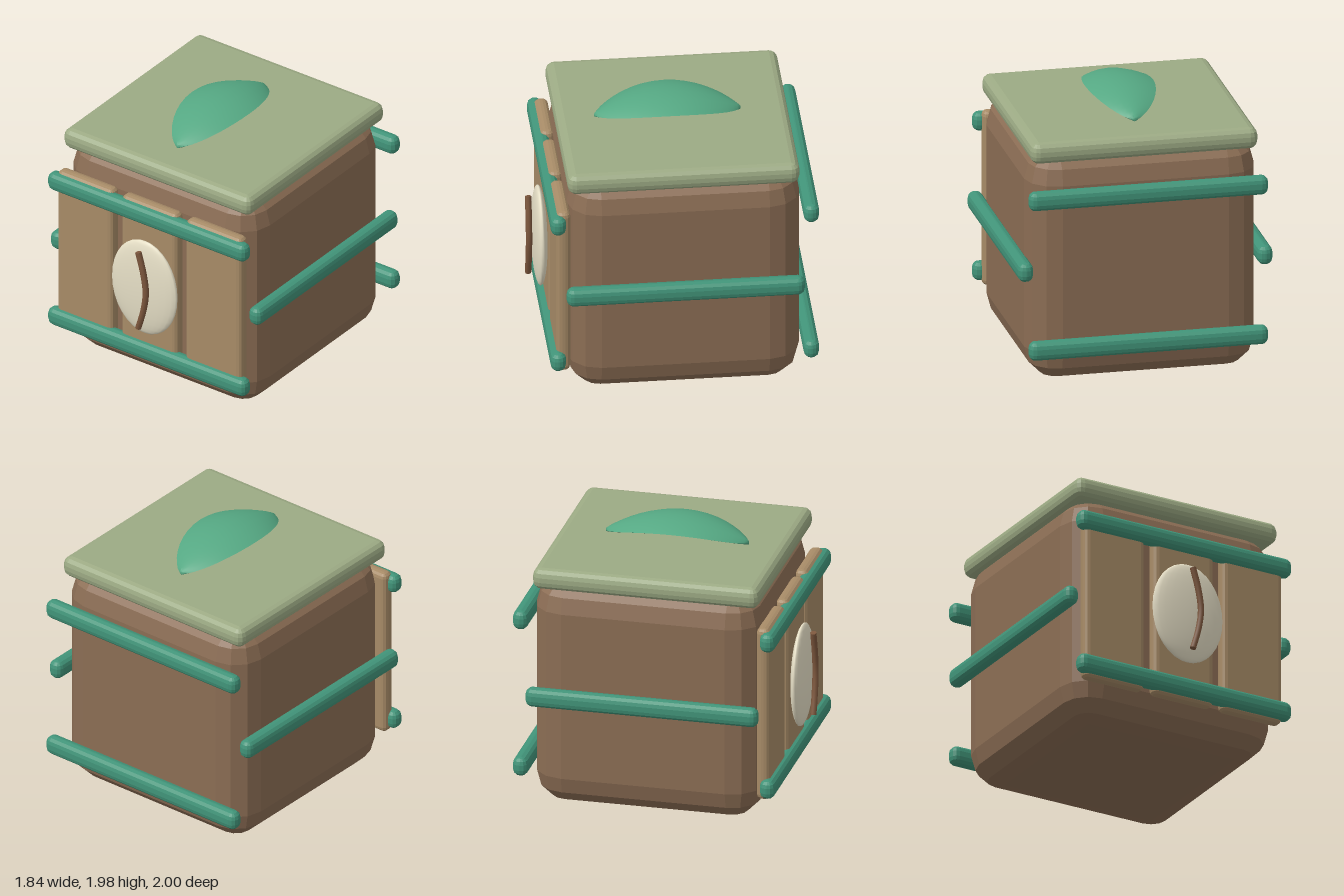
import * as THREE from 'three';
import { toCreasedNormals } from 'three/addons/utils/BufferGeometryUtils.js';

// Skin a stack of equal-sized closed rings and cap both ends
function loft(rings) {
  const n = rings[0].length, pos = [], idx = [];
  rings.forEach(r => r.forEach(p => pos.push(...p)));
  for (let i = 0; i < rings.length - 1; i++) {
    for (let j = 0; j < n; j++) {
      const a = i * n + j, b = i * n + (j + 1) % n, c = a + n, d = b + n;
      idx.push(a, c, b, b, c, d);
    }
  }
  const last = (rings.length - 1) * n;
  for (let j = 1; j < n - 1; j++) {
    idx.push(0, j, j + 1, last, last + j + 1, last + j);
  }
  const g = new THREE.BufferGeometry();
  g.setAttribute('position', new THREE.Float32BufferAttribute(pos, 3));
  g.setIndex(idx);
  g.computeVertexNormals();
  return g;
}

// Box with every edge bevelled in a few steps
function bevelBox(w, h, d, r, steps = 3) {
  const rings = [];
  for (const half of [-1, 1]) {
    for (let k = 0; k <= steps; k++) {
      const lat = (k / steps + (half < 0 ? -1 : 0)) * Math.PI / 2;
      const rr = r * Math.cos(lat), ring = [];
      for (let c = 0; c < 4; c++) {
        const sx = c === 0 || c === 3 ? 1 : -1, sz = c < 2 ? 1 : -1;
        for (let j = 0; j <= steps; j++) {
          const a = (c + j / steps) * Math.PI / 2;
          ring.push([
            sx * (w / 2 - r) + rr * Math.cos(a),
            half * (h / 2 - r) + r * Math.sin(lat),
            sz * (d / 2 - r) + rr * Math.sin(a),
          ]);
        }
      }
      rings.push(ring);
    }
  }
  return loft(rings);
}

// Lens-section leaf, arched along z and tapering to both tips
function leafGeometry() {
  const rings = [], steps = 20, around = 16;
  for (let i = 0; i <= steps; i++) {
    const t = -Math.cos(i / steps * Math.PI);
    const taper = Math.pow(Math.max(0, 1 - t * t), 0.7);
    const w = 0.004 + 0.246 * taper, h = 0.012 + 0.042 * taper;
    const ring = [];
    for (let j = 0; j < around; j++) {
      const a = j / around * Math.PI * 2, u = Math.cos(a);
      const side = Math.sin(a) >= 0 ? -1 : 1;
      ring.push([w * u, 1.921 - 0.107 * t * t + side * h * (1 - u * u), -0.008 + 0.518 * t]);
    }
    rings.push(ring);
  }
  return toCreasedNormals(loft(rings), 0.8);
}

export function createModel() {
  const group = new THREE.Group();
  const mat = (color, flatShading = false) => new THREE.MeshStandardMaterial({ color, flatShading });
  const brown = mat(0x8b6d54, true), wood = mat(0xa78b67, true);
  const sage = mat(0x9caa84, true), green = mat(0x419479, true);

  const add = (name, geometry, material, x = 0, y = 0, z = 0) => {
    const m = new THREE.Mesh(geometry, material);
    m.name = name;
    m.position.set(x, y, z);
    group.add(m);
    return m;
  };

  // Crate body and lid
  add('body', bevelBox(1.66, 1.71, 1.65, 0.23), brown, 0, 0.855, -0.055);
  add('lid', bevelBox(1.64, 0.155, 1.645, 0.06), sage, 0, 1.72, -0.045);

  // Front planks
  const plank = bevelBox(0.49, 1.3, 0.1, 0.04);
  for (const x of [-0.56, 0, 0.56]) add('plank', plank, wood, x, 0.85, 0.808);

  // Straps: two across front and back, one along each side
  const crossStrap = bevelBox(1.73, 0.14, 0.11, 0.05);
  for (const y of [0.295, 1.41]) {
    add('frontStrap', crossStrap, green, 0, y, 0.848);
    add('backStrap', crossStrap, green, 0, y, -0.945);
  }
  const sideStrap = bevelBox(0.11, 0.14, 1.69, 0.05);
  for (const s of [-1, 1]) add('sideStrap', sideStrap, green, s * 0.865, 0.852, -0.05);

  // Bean emblem with its curved crease
  const bean = add('bean', new THREE.SphereGeometry(1, 24, 16), mat(0xe6dfc6), 0, 0.85, 0.9);
  bean.scale.set(0.285, 0.38, 0.054);
  const curve = new THREE.CatmullRomCurve3([
    [0, 1.175], [0.045, 1.01], [0.065, 0.86], [0.045, 0.71], [0, 0.55],
  ].map(([x, y]) => new THREE.Vector3(x, y, 0.978)));
  add('beanCrease', new THREE.TubeGeometry(curve, 16, 0.023, 8), mat(0x7d573d));
  // Flat end caps on the crease
  for (const [t, s] of [[0, -1], [1, 1]]) {
    const cap = add('beanCreaseEnd', new THREE.CircleGeometry(0.023, 8), mat(0x7d573d));
    const p = curve.getPointAt(t);
    cap.position.copy(p);
    cap.lookAt(p.clone().addScaledVector(curve.getTangentAt(t), s));
  }

  // Leaf on the lid
  add('leaf', leafGeometry(), mat(0x55a883));

  return group;
}
